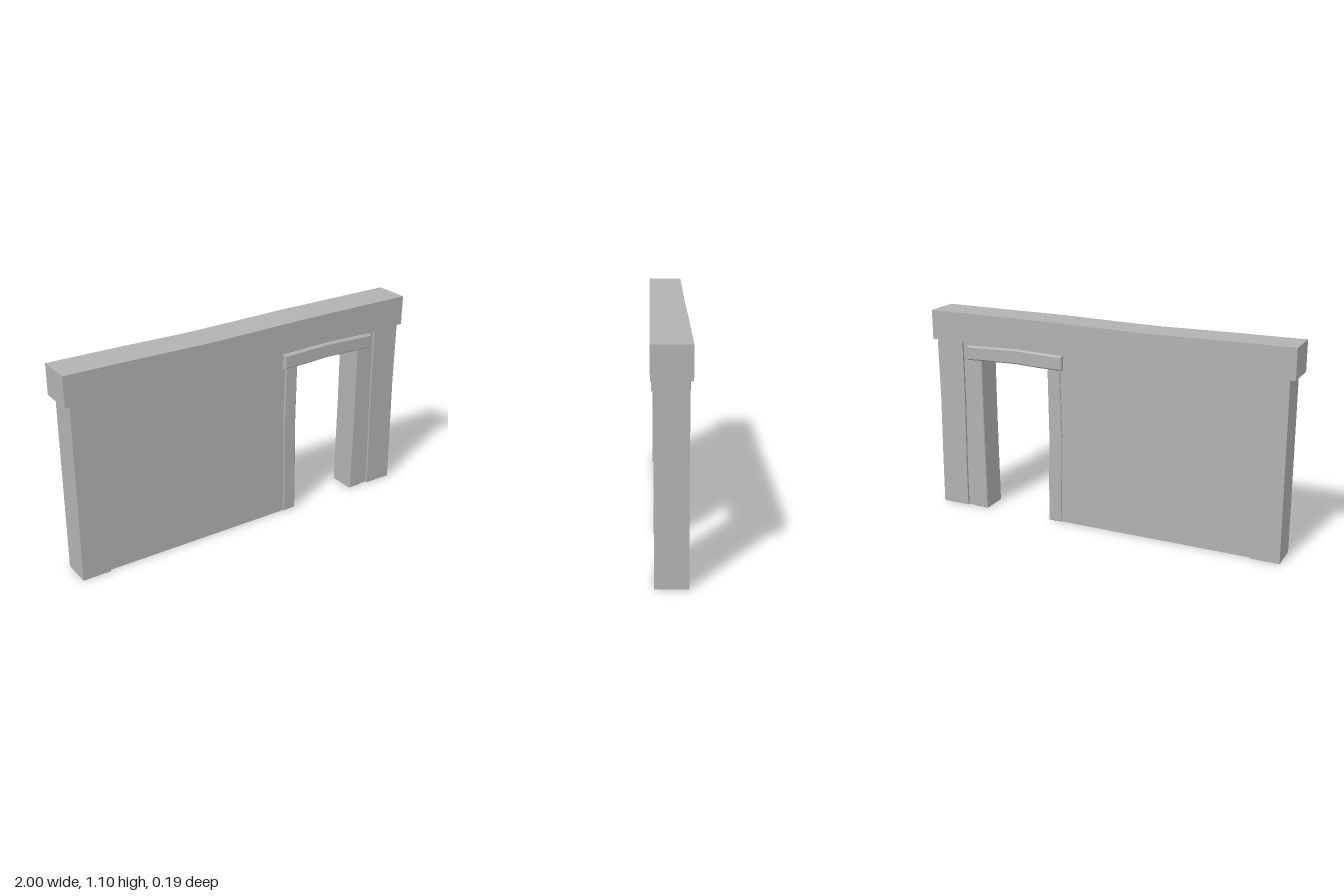
import * as THREE from 'three';

export function createModel() {
  const model = new THREE.Group();
  model.name = 'wallWithDoorway';
  const grey = new THREE.MeshStandardMaterial({ color: 0xb2b2b2 });
  grey.name = 'plainGrey';

  // Extrudes an xy outline to a slab of the given half depth, centred on z = 0.
  function slab(name, outline, half, bevel = 0) {
    const shape = new THREE.Shape(outline.map(([x, y]) => new THREE.Vector2(x, y)));
    const geometry = new THREE.ExtrudeGeometry(shape, {
      depth: 2 * (half - bevel),
      bevelEnabled: bevel > 0,
      bevelThickness: bevel,
      bevelSize: bevel,
      bevelOffset: -bevel,
      bevelSegments: 1,
    });
    geometry.translate(0, 0, bevel - half);
    const mesh = new THREE.Mesh(geometry, grey);
    mesh.name = name;
    model.add(mesh);
  }

  // Wall panel with the doorway cut out
  slab('wallPanel', [
    [-0.9, 0], [0.28, 0], [0.28, 0.89], [0.75, 0.89],
    [0.75, 0], [0.9, 0], [0.9, 0.97], [-0.9, 0.97],
  ], 0.066);

  // Slightly crooked corner posts
  slab('rightPost', [
    [-0.97, 0], [-0.82, 0], [-0.818, 0.5], [-0.82, 0.96], [-0.97, 0.96],
  ], 0.078);
  slab('leftPost', [
    [0.835, 0], [0.99, 0], [0.987, 0.25], [0.98, 0.6], [0.982, 0.96],
    [0.825, 0.96], [0.825, 0.6], [0.833, 0.25],
  ], 0.078);

  // Sagging top beam
  slab('topBeam', [
    [-1, 0.945], [-0.6, 0.943], [-0.25, 0.94], [0, 0.943], [0.3, 0.945], [1, 0.945],
    [1, 1.103], [0.3, 1.103], [0, 1.098], [-0.25, 1.095], [-0.6, 1.1], [-1, 1.103],
  ], 0.0925);

  // Hewn door jambs
  slab('doorJambRight', [
    [0.245, 0], [0.32, 0], [0.318, 0.2], [0.311, 0.5], [0.315, 0.87],
    [0.243, 0.87], [0.236, 0.5], [0.242, 0.2],
  ], 0.074, 0.004);
  slab('doorJambLeft', [
    [0.71, 0], [0.785, 0], [0.788, 0.5], [0.786, 0.87],
    [0.712, 0.87], [0.713, 0.5],
  ], 0.074, 0.004);

  // Arched lintel
  slab('doorLintel', [
    [0.225, 0.85], [0.36, 0.851], [0.5, 0.857], [0.66, 0.852], [0.795, 0.848],
    [0.795, 0.925], [0.66, 0.929], [0.5, 0.935], [0.36, 0.93], [0.225, 0.926],
  ], 0.088, 0.007);

  return model;
}
